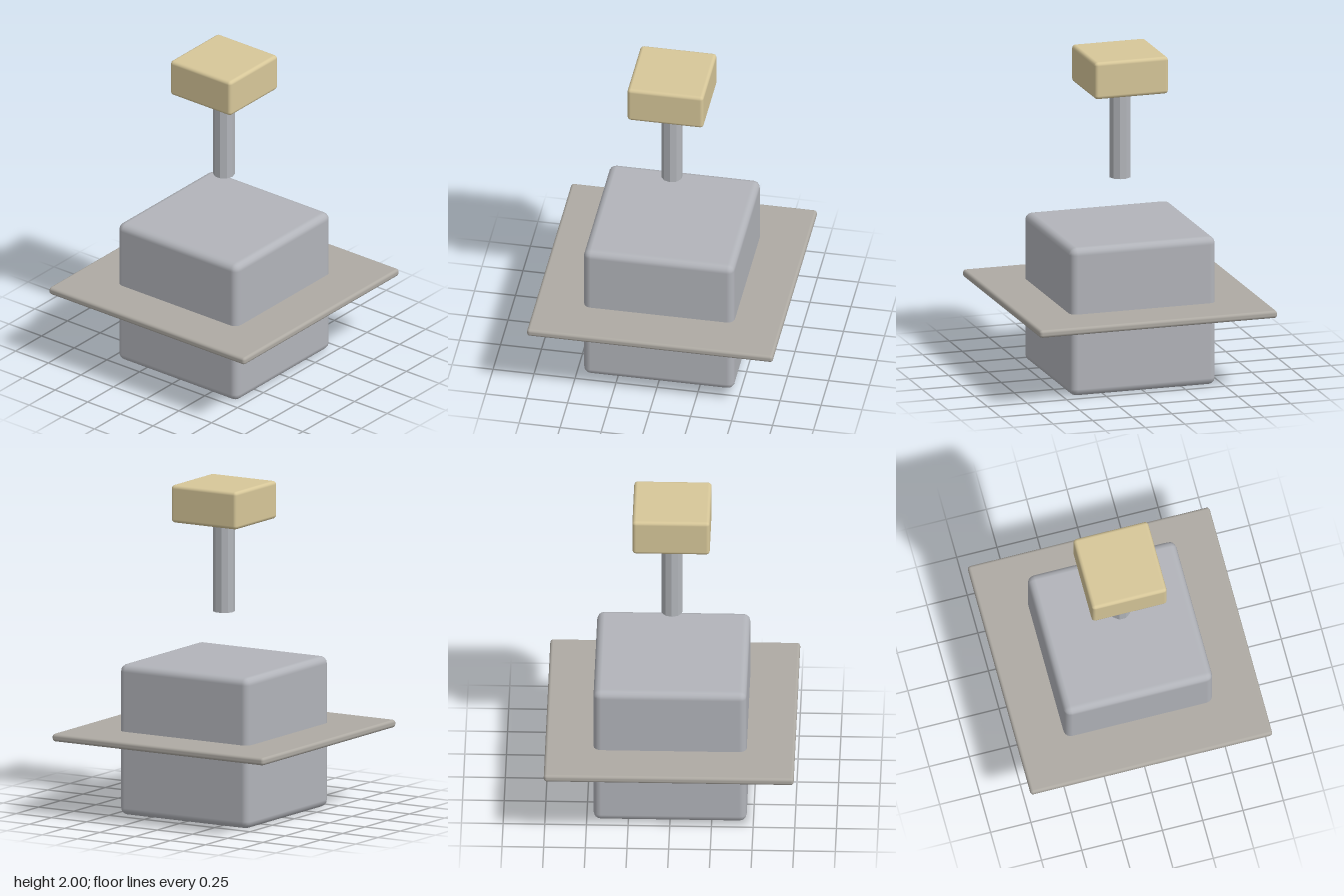
import * as THREE from 'three';
import { RoundedBoxGeometry } from 'three/addons/geometries/RoundedBoxGeometry.js';

const material = (color, flatShading = false) => new THREE.MeshStandardMaterial({ color, flatShading });

export function createModel() {
  const model = new THREE.Group();

  const add = (name, geometry, mat, y) => {
    const mesh = new THREE.Mesh(geometry, mat);
    mesh.name = name;
    mesh.position.y = y;
    model.add(mesh);
  };

  // Square block with softened edges, spanning bottom to top
  const block = (name, width, bottom, top, radius, color) =>
    add(name, new RoundedBoxGeometry(width, top - bottom, width, 2, radius),
      material(color), (bottom + top) / 2);

  block('body', 0.92, 0, 0.92, 0.045, 0xb2b4ba);
  block('plate', 1.5, 0.465, 0.512, 0.018, 0xaeaaa3);
  block('knob', 0.465, 1.77, 2, 0.022, 0xd7c799);

  // Ten-sided stem hanging under the knob, clear of the body
  const stemBottom = 1.217, stemTop = 1.78;
  add('stem', new THREE.CylinderGeometry(0.065, 0.065, stemTop - stemBottom, 10),
    material(0xb2b5ba, true), (stemBottom + stemTop) / 2);

  return model;
}
